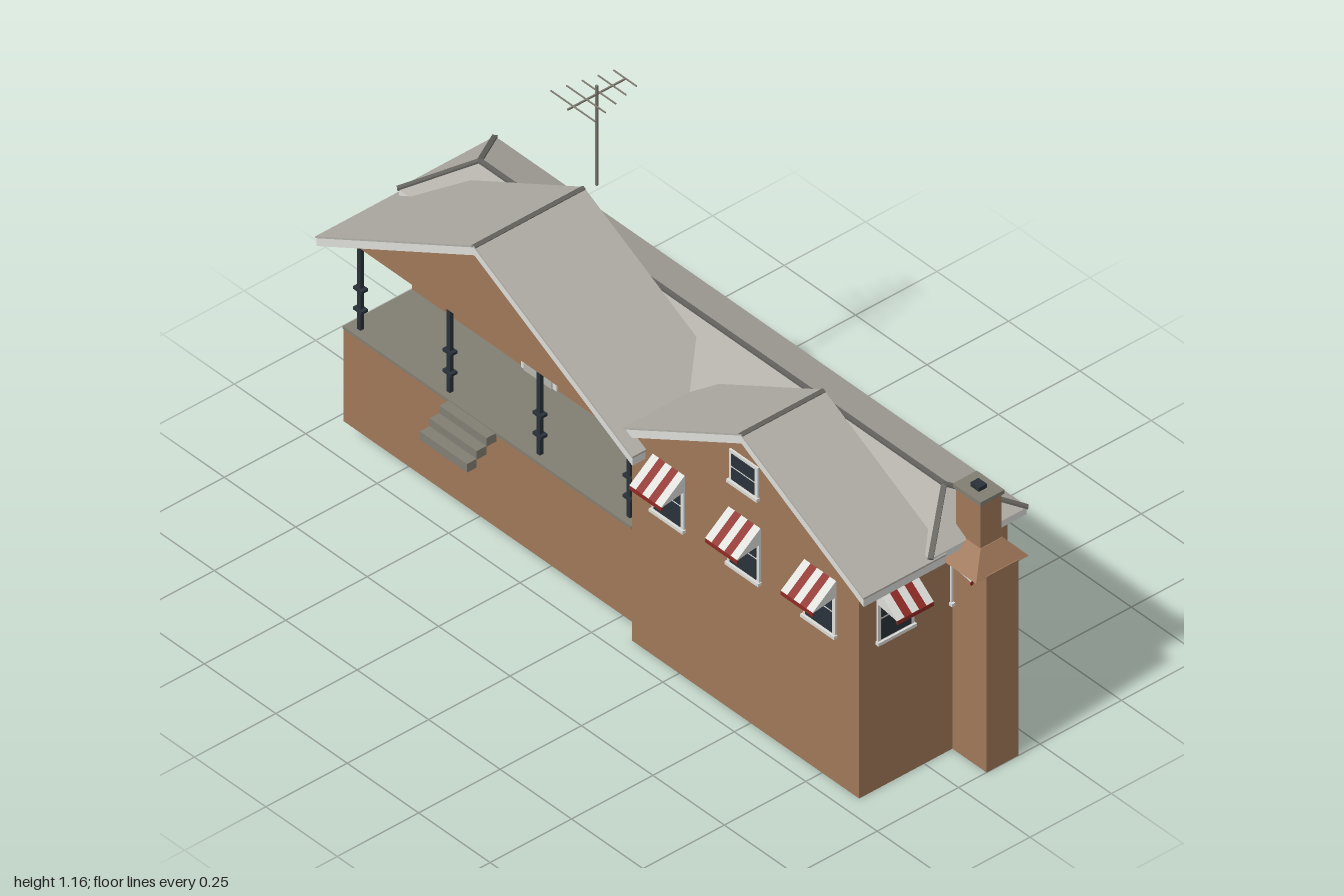
import * as THREE from 'three';

const mat = (name, color, side = THREE.FrontSide) => {
  const m = new THREE.MeshStandardMaterial({ color, side });
  m.name = name;
  return m;
};

export function createModel() {
  const model = new THREE.Group();
  model.name = 'house';
  const brick = mat('brick', 0xa0785a);
  const roofing = mat('roofing', 0xb0aea6);
  const trim = mat('trim', 0xdcdcd8, THREE.DoubleSide);
  const stone = mat('stone', 0x827f73);
  const dark = mat('dark', 0x2a323a);
  const red = mat('red', 0x8e2a25);
  const doorPaint = mat('doorPaint', 0xb6b6b0);
  const capping = mat('capping', 0x64635e);

  const add = (name, geo, material, parent = model) => {
    const mesh = new THREE.Mesh(geo, material);
    mesh.name = name;
    parent.add(mesh);
    return mesh;
  };
  // box given by its limits on each axis
  const box = (name, m, x0, x1, y0, y1, z0, z1, parent) => {
    const g = new THREE.BoxGeometry(x1 - x0, y1 - y0, z1 - z0);
    g.translate((x0 + x1) / 2, (y0 + y1) / 2, (z0 + z1) / 2);
    return add(name, g, m, parent);
  };
  // square bar between two points
  const bar = (name, m, a, b, w, h = w) => {
    const p = new THREE.Vector3(...a), q = new THREE.Vector3(...b);
    const mesh = add(name, new THREE.BoxGeometry(w, h, p.distanceTo(q)), m);
    mesh.position.copy(p).lerp(q, 0.5);
    mesh.lookAt(q);
  };
  // outline in x and y, extruded from z0 to z1
  const prism = (name, m, pts, z0, z1) => {
    const shape = new THREE.Shape(pts.map(p => new THREE.Vector2(...p)));
    const g = new THREE.ExtrudeGeometry(shape, { depth: z1 - z0, bevelEnabled: false });
    return add(name, g.translate(0, 0, z0), m);
  };
  const chevron = (name, m, cx, half, top, slope, thick, z0, z1) => {
    const e = top - slope * half;
    prism(name, m, [[cx - half, e - thick], [cx, top - thick], [cx + half, e - thick],
      [cx + half, e], [cx, top], [cx - half, e]], z0, z1);
  };

  // foundation, walls and porch
  box('rearFoundation', brick, -0.925, 0.88, 0, 0.33, -0.255, -0.01);
  box('wingFoundation', brick, 0.085, 0.88, 0, 0.33, -0.01, 0.2);
  box('rearWalls', brick, -0.925, 0.88, 0.33, 0.605, -0.255, -0.01);
  box('wingWalls', brick, 0.085, 0.88, 0.33, 0.6, -0.01, 0.2);
  box('porchBase', brick, -0.925, 0.085, 0.055, 0.325, -0.01, 0.2);
  box('porchDeck', stone, -0.925, 0.085, 0.325, 0.333, -0.01, 0.202);
  for (let i = 0; i < 3; i++) {
    box('step', stone, -0.555, -0.39, 0.305 - i * 0.0225, 0.33 - i * 0.0225, 0.2 + i * 0.03, 0.23 + i * 0.03);
  }
  for (const x of [-0.89, -0.577, -0.262, 0.053]) {
    box('porchPost', dark, x - 0.006, x + 0.006, 0.333, 0.588, 0.172, 0.184);
    for (const y of [0.39, 0.45]) box('postCollar', dark, x - 0.015, x + 0.015, y - 0.004, y + 0.004, 0.168, 0.188);
  }

  // gables and their roofs
  prism('porchGable', brick, [[-0.925, 0.585], [0.085, 0.585], [-0.42, 0.855]], -0.07, 0.195);
  prism('wingGable', brick, [[0.085, 0.6], [0.88, 0.6], [0.4825, 0.813]], -0.02, 0.2);
  const gableRoof = (name, cx, half, top, slope, z0, z1) => {
    chevron(name + 'Trim', trim, cx, half - 0.002, top - 0.005, slope, 0.024, z0 + 0.002, z1 - 0.002);
    chevron(name + 'Shingles', roofing, cx, half, top, slope, 0.005, z0, z1);
    chevron(name + 'RidgeCap', capping, cx, 0.007, top + 0.002, slope, 0.004, z0, z1);
  };
  gableRoof('porchRoof', -0.42, 0.555, 0.88, 0.53, -0.095, 0.243);
  gableRoof('wingRoof', 0.4825, 0.43, 0.84, 0.535, -0.04, 0.215);

  // hip roof over the rear range
  const L = -0.953, R = 0.913, F = 0.01, B = -0.29;
  box('eavesTrim', trim, L + 0.003, R - 0.003, 0.598, 0.618, B + 0.003, F - 0.003);
  const c = [[L, 0.62, F], [R, 0.62, F], [R, 0.62, B], [L, 0.62, B], [-0.835, 0.693, -0.14], [0.79, 0.693, -0.14]];
  const faces = [[0, 1, 5], [0, 5, 4], [1, 2, 5], [2, 3, 4], [2, 4, 5], [3, 0, 4], [0, 3, 2], [0, 2, 1]];
  const hip = new THREE.BufferGeometry();
  hip.setAttribute('position', new THREE.Float32BufferAttribute(faces.flat().flatMap(i => c[i]), 3));
  hip.computeVertexNormals();
  add('hipRoof', hip, roofing);
  for (const [a, b] of [[4, 5], [0, 4], [3, 4], [1, 5], [2, 5]]) bar('hipRidgeCap', capping, c[a], c[b], 0.013, 0.006);

  // windows, built facing +z and then turned to their wall
  const windowAt = (x, y, z, turn, { w = 0.112, h = 0.14, awning = false } = {}) => {
    const g = new THREE.Group();
    g.name = awning ? 'awningWindow' : 'window';
    g.position.set(x, y, z);
    g.rotation.y = turn;
    model.add(g);
    box('windowFrame', trim, -w / 2, w / 2, 0, h, -0.003, 0.005, g);
    box('windowSill', trim, -w / 2 - 0.003, w / 2 + 0.003, -0.004, 0.005, -0.002, 0.011, g);
    const mid = h / 2, gw = w / 2 - 0.01;
    box('lowerPane', dark, -gw, gw, 0.009, mid - 0.003, 0, 0.007, g);
    box('upperPane', dark, -gw, gw, mid + 0.003, h - 0.009, 0, 0.007, g);
    if (!awning) return;
    const drop = 0.056, out = 0.072, top = 0.16, n = 5, s = w / n;
    for (let i = 0; i < n; i++) {
      const strip = add('awningStripe', new THREE.BoxGeometry(s, 0.004, Math.hypot(drop, out)), i % 2 ? red : trim, g);
      strip.position.set((i - 2) * s, top - drop / 2, out / 2);
      strip.rotation.x = Math.atan2(drop, out);
    }
    box('awningValance', red, -w / 2, w / 2, top - drop - 0.01, top - drop + 0.001, out - 0.002, out + 0.002, g);
    for (const side of [-1, 1]) {
      const tri = new THREE.Shape([[0, top], [0, top - 0.045], [out, top - drop]].map(p => new THREE.Vector2(...p)));
      const cheek = add('awningCheek', new THREE.ShapeGeometry(tri).rotateY(-Math.PI / 2), trim, g);
      cheek.position.x = side * w / 2;
    }
  };
  const sillY = 0.427;
  for (const x of [-0.776, -0.177]) windowAt(x, sillY, -0.01, 0);
  for (const x of [0.215, 0.48, 0.745]) windowAt(x, sillY, 0.2, 0, { awning: true });
  for (let i = 0; i < 6; i++) windowAt(0.733 - i * 0.3, sillY, -0.255, Math.PI);
  windowAt(0.48, 0.67, 0.2, 0, { w: 0.1, h: 0.092 });
  for (const z of [0.091, -0.135]) windowAt(0.88, sillY, z, Math.PI / 2, { awning: true });
  windowAt(-0.925, sillY, -0.14, -Math.PI / 2, { awning: true });

  // front door
  box('doorFrame', trim, -0.537, -0.413, 0.333, 0.567, -0.012, -0.005);
  box('doorLeaf', doorPaint, -0.524, -0.426, 0.333, 0.556, -0.01, -0.002);
  box('doorGlass', dark, -0.515, -0.435, 0.43, 0.55, -0.008, 0);

  // chimney with a tapered shoulder
  box('chimneyBase', brick, 0.87, 1, 0, 0.57, -0.184, -0.086);
  const shoulder = new THREE.BoxGeometry(1, 1, 1);
  const p = shoulder.attributes.position;
  for (let i = 0; i < p.count; i++) {
    const up = p.getY(i) > 0;
    const x = p.getX(i) < 0 ? 0.872 : up ? 0.962 : 1;
    p.setXYZ(i, x, up ? 0.622 : 0.566, -0.135 + Math.sign(p.getZ(i)) * (up ? 0.034 : 0.081));
  }
  shoulder.computeVertexNormals();
  add('chimneyShoulder', shoulder, brick);
  box('chimneyShaft', brick, 0.873, 0.96, 0.6, 0.75, -0.167, -0.103);
  box('chimneyCap', stone, 0.868, 0.965, 0.749, 0.76, -0.172, -0.098);
  box('chimneyFlue', dark, 0.902, 0.932, 0.76, 0.771, -0.147, -0.122);

  // aerial
  bar('aerialMast', stone, [-0.42, 0.865, -0.135], [-0.42, 1.155, -0.135], 0.006);
  bar('aerialBoom', stone, [-0.42, 1.13, -0.225], [-0.42, 1.13, -0.045], 0.004);
  for (let i = 0; i < 5; i++) {
    const z = -0.222 + i * 0.04, r = 0.04 + i * 0.0095;
    bar('aerialElement', stone, [-0.42 - r, 1.132, z], [-0.42 + r, 1.132, z], 0.003);
  }
  return model;
}
